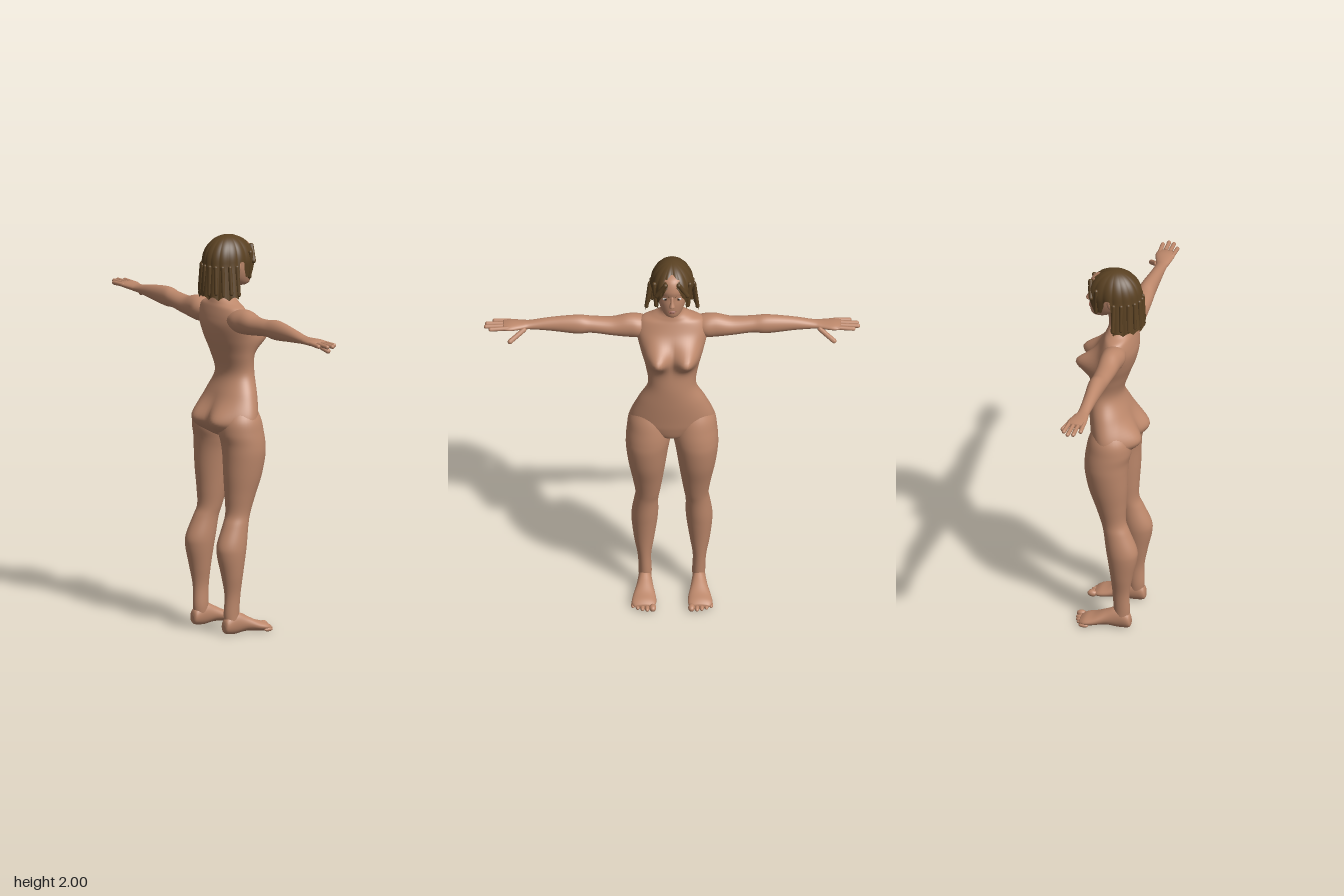
import * as THREE from 'three';

const mat = (name, color, side = THREE.FrontSide) => {
  const m = new THREE.MeshStandardMaterial({ color, side });
  m.name = name;
  return m;
};

// Closed-around surface: fn(t, angle) gives a point; t runs along the part
function surface(rows, cols, fn, capped = true) {
  const pos = [], idx = [];
  for (let i = 0; i <= rows; i++)
    for (let j = 0; j < cols; j++) pos.push(...fn(i / rows, (j / cols) * Math.PI * 2));
  for (let i = 0; i < rows; i++)
    for (let j = 0; j < cols; j++) {
      const a = i * cols + j, b = i * cols + (j + 1) % cols;
      idx.push(a, b, b + cols, a, b + cols, a + cols);
    }
  if (capped) for (const row of [0, rows]) {
    const c = [0, 0, 0], n = pos.length / 3, s = row * cols;
    for (let j = 0; j < cols; j++) for (let k = 0; k < 3; k++) c[k] += pos[(s + j) * 3 + k] / cols;
    pos.push(...c);
    for (let j = 0; j < cols; j++) {
      const a = s + j, b = s + (j + 1) % cols;
      row ? idx.push(n, a, b) : idx.push(n, b, a);
    }
  }
  const g = new THREE.BufferGeometry();
  g.setAttribute('position', new THREE.Float32BufferAttribute(pos, 3));
  g.setIndex(idx);
  g.computeVertexNormals();
  return g;
}

// Smooth interpolation through section keys
function sample(keys, t) {
  const f = t * (keys.length - 1), i = Math.min(Math.floor(f), keys.length - 2), s = f - i;
  const K = n => keys[Math.max(0, Math.min(keys.length - 1, n))];
  return keys[i].map((_, k) => {
    const [a, b, c, d] = [K(i - 1)[k], K(i)[k], K(i + 1)[k], K(i + 2)[k]];
    return b + 0.5 * s * (c - a + s * (2 * a - 5 * b + 4 * c - d + s * (3 * (b - c) + d - a)));
  });
}

// Loft oval sections [position, uMin, uMax, vMin, vMax]
const loft = (keys, rows, cols, place) => surface(rows, cols, (t, a) => {
  const [p, u0, u1, v0, v1] = sample(keys, t);
  return place(p, (u0 + u1) / 2 + (u1 - u0) / 2 * Math.cos(a), (v0 + v1) / 2 + (v1 - v0) / 2 * Math.sin(a));
});
const upright = (y, z, x) => [x, y, z];

// Mirror a geometry across x = 0
function mirrored(geo) {
  const g = geo.clone().scale(-1, 1, 1), ix = g.index.array;
  for (let i = 0; i < ix.length; i += 3) [ix[i], ix[i + 1]] = [ix[i + 1], ix[i]];
  g.computeVertexNormals();
  return g;
}

const ball = (x, y, z, rx, ry, rz) => new THREE.SphereGeometry(1, 20, 14).scale(rx, ry, rz).translate(x, y, z);

// Rounded rod between two points
function rod(a, b, r) {
  const A = new THREE.Vector3(...a), B = new THREE.Vector3(...b), d = B.clone().sub(A);
  const g = new THREE.CapsuleGeometry(r, d.length() - r, 5, 12);
  g.applyQuaternion(new THREE.Quaternion().setFromUnitVectors(new THREE.Vector3(0, 1, 0), d.normalize()));
  return g.translate(...A.add(B).multiplyScalar(0.5).toArray());
}

export function createModel() {
  const root = new THREE.Group();
  root.name = 'figure';
  const skin = mat('skin', 0xbd886b), hair = mat('hair', 0x5a4122, THREE.DoubleSide);
  const lip = mat('lips', 0x9c6252), white = mat('eyeWhite', 0xd8d0c8), dark = mat('iris', 0x2c1d14);
  const add = (name, geo, m) => {
    const mesh = new THREE.Mesh(geo, m);
    mesh.name = name;
    root.add(mesh);
  };
  const pair = (name, geo, m) => {
    add(name + 'Left', geo, m);
    add(name + 'Right', mirrored(geo), m);
  };

  // Torso and neck: [y, half width, front z, back z]
  const torso = [
    [0.98, 0.04, -0.05, 0.05], [1.0, 0.12, -0.075, 0.08], [1.05, 0.2, -0.09, 0.115],
    [1.1, 0.208, -0.097, 0.12], [1.2, 0.168, -0.108, 0.09], [1.3, 0.12, -0.112, 0.058],
    [1.4, 0.132, -0.105, 0.085], [1.48, 0.155, -0.098, 0.115], [1.55, 0.173, -0.075, 0.13],
    [1.6, 0.178, -0.05, 0.126], [1.645, 0.155, -0.03, 0.115], [1.67, 0.1, -0.02, 0.105],
    [1.7, 0.058, -0.015, 0.095], [1.76, 0.05, -0.02, 0.085], [1.8, 0.048, -0.02, 0.08],
  ].map(([y, w, f, b]) => [y, f, b, -w, w]);
  const swell = (x, y, cx, cy, r) => Math.exp(-((Math.abs(x) - cx) ** 2 + (y - cy) ** 2) / (r * r));
  add('torso', loft(torso, 90, 72, (y, z, x) => {
    const front = THREE.MathUtils.clamp(-z / 0.05, 0, 1), back = THREE.MathUtils.clamp(z / 0.06, 0, 1);
    return [x, y, z - front * 0.085 * swell(x, y, 0.077, 1.485, 0.058)
      + back * 0.056 * swell(x, y, 0.09, 1.07, 0.08)];
  }), skin);

  // Legs: [y, front z, back z, inner x, outer x]
  pair('leg', loft([
    [0.04, 0.05, 0.12, 0.105, 0.165], [0.1, 0.045, 0.127, 0.1, 0.165], [0.2, 0.04, 0.125, 0.103, 0.17],
    [0.3, 0.03, 0.142, 0.088, 0.188], [0.4, 0.015, 0.164, 0.073, 0.2], [0.46, 0.005, 0.163, 0.068, 0.2],
    [0.55, -0.008, 0.125, 0.068, 0.188], [0.61, -0.024, 0.102, 0.06, 0.182], [0.7, -0.052, 0.104, 0.046, 0.196],
    [0.8, -0.085, 0.11, 0.032, 0.215], [0.9, -0.104, 0.112, 0.018, 0.228], [0.96, -0.106, 0.116, 0.007, 0.229],
    [1.02, -0.1, 0.128, 0.002, 0.224], [1.09, -0.085, 0.12, 0.01, 0.211], [1.17, -0.05, 0.07, 0.04, 0.165],
  ], 80, 40, upright), skin);

  // Feet: [z, bottom, top, inner x, outer x]
  pair('foot', loft([
    [0.134, 0.02, 0.05, 0.12, 0.15], [0.122, 0.006, 0.085, 0.106, 0.164], [0.07, 0, 0.115, 0.1, 0.168],
    [0.01, 0.008, 0.09, 0.092, 0.178], [-0.05, 0.003, 0.06, 0.08, 0.195], [-0.095, 0, 0.046, 0.079, 0.2],
    [-0.122, 0.006, 0.03, 0.09, 0.185],
  ], 30, 28, (z, y, x) => [x, y, z]), skin);
  for (let i = 0; i < 5; i++) {
    const r = i ? 0.0125 - i * 0.0007 : 0.017;
    pair('toe' + (i + 1), ball(0.096 + i * 0.0235 + (i ? 0.004 : 0), r + 0.002, -0.131 + i * i * 0.0022, r, r, 0.025), skin);
  }

  // Arms: [x, bottom, top, front z, back z]
  pair('arm', loft([
    [0.1, 1.56, 1.63, 0.02, 0.1], [0.16, 1.535, 1.652, -0.008, 0.112], [0.22, 1.535, 1.657, -0.006, 0.105],
    [0.3, 1.545, 1.638, 0, 0.1], [0.4, 1.558, 1.642, 0.006, 0.096], [0.47, 1.553, 1.652, 0.005, 0.09],
    [0.6, 1.567, 1.638, 0.018, 0.084], [0.7, 1.577, 1.62, 0.022, 0.08], [0.74, 1.58, 1.617, 0.014, 0.085],
    [0.8, 1.583, 1.618, -0.004, 0.092], [0.838, 1.588, 1.612, 0, 0.092],
  ], 60, 28, (x, y, z) => [x, y, z]), skin);
  [[0.905, 0.004], [0.928, 0.03], [0.922, 0.057], [0.885, 0.085]].forEach(([x, z], i) =>
    pair('finger' + (i + 1), rod([0.8, 1.602, 0.012 + i * 0.023], [x, 1.6, z], 0.0105), skin));
  pair('thumb', rod([0.73, 1.592, 0.02], [0.808, 1.546, -0.03], 0.0125), skin);

  // Head: [y, front z, back z, -half width, half width]
  add('head', loft([
    [1.737, -0.092, -0.04, 0.02], [1.75, -0.108, -0.005, 0.042], [1.78, -0.114, 0.05, 0.061],
    [1.82, -0.116, 0.09, 0.075], [1.86, -0.113, 0.115, 0.081], [1.9, -0.118, 0.125, 0.083],
    [1.95, -0.1, 0.11, 0.068], [1.975, -0.055, 0.07, 0.04],
  ].map(([y, f, b, w]) => [y, f, b, -w, w]), 40, 40, upright), skin);
  add('nose', loft([
    [1.81, -0.118, -0.1, -0.01, 0.01], [1.817, -0.136, -0.1, -0.015, 0.015],
    [1.84, -0.127, -0.1, -0.009, 0.009], [1.87, -0.115, -0.1, -0.007, 0.007],
  ], 12, 16, upright), skin);
  add('upperLip', ball(0, 1.787, -0.111, 0.021, 0.005, 0.009), lip);
  add('lowerLip', ball(0, 1.778, -0.11, 0.018, 0.006, 0.009), lip);
  pair('ear', ball(0.084, 1.848, 0.012, 0.012, 0.03, 0.018), skin);
  pair('eye', ball(0.032, 1.853, -0.101, 0.015, 0.0075, 0.006), white);
  pair('iris', ball(0.032, 1.853, -0.105, 0.0065, 0.0068, 0.0035), dark);
  pair('eyebrow', rod([0.014, 1.872, -0.111], [0.05, 1.876, -0.091], 0.0035), hair);

  // Bob hair: hem height by angle away from the back of the head
  const hem = [[0, 1.7], [1.45, 1.7], [1.6, 1.87], [1.82, 1.87], [1.95, 1.79], [2.3, 1.78], [2.62, 1.87], [3.15, 1.95]];
  const hemAt = a => {
    const k = hem.findIndex(h => h[0] > a), [p, q] = [hem[k - 1], hem[k]];
    return p[1] + (q[1] - p[1]) * (a - p[0]) / (q[0] - p[0]);
  };
  add('hair', surface(28, 240, (t, theta) => {
    const a = Math.min(theta, Math.PI * 2 - theta), s = 1 - t;
    const lock = Math.abs(Math.sin(a * 8 + s * 0.8));
    const y = 2 - (2 - hemAt(a) - 0.018 * (lock - 0.6)) * s * s;
    const back = Math.cos(a) > 0, low = Math.max(0, 1.87 - y);
    let r = y > 1.87 ? Math.sqrt(Math.max(0, 1 - ((y - 1.87) / 0.13) ** 2)) : 1;
    r *= 1 + (0.055 * lock - 0.03) * s;
    const flare = a < 1.58 ? low * 0.15 : -low * 0.15;
    const part = 1 - 0.1 * Math.exp(-(((Math.PI - a) / 0.25) ** 2));
    return [Math.sin(theta) * r * (0.107 + flare), y,
      0.02 + Math.cos(a) * r * ((back ? 0.13 : 0.148) + flare * 0.6) * part];
  }, false), hair);

  // Loose locks around the hem and beside the face
  for (let i = 0; i < 11; i++) {
    const a = (i - 5) * 0.29, x = Math.sin(a), z = Math.cos(a);
    add('lock' + (i + 1), rod([x * 0.11, 1.86, 0.02 + z * 0.132], [x * 0.128, 1.712 + (i % 2) * 0.008, 0.02 + z * 0.138], 0.01), hair);
  }
  pair('sideLock', rod([0.088, 1.92, -0.06], [0.078, 1.785, -0.062], 0.011), hair);
  pair('fringe', rod([0.03, 1.94, -0.105], [0.078, 1.86, -0.088], 0.012), hair);
  return root;
}
